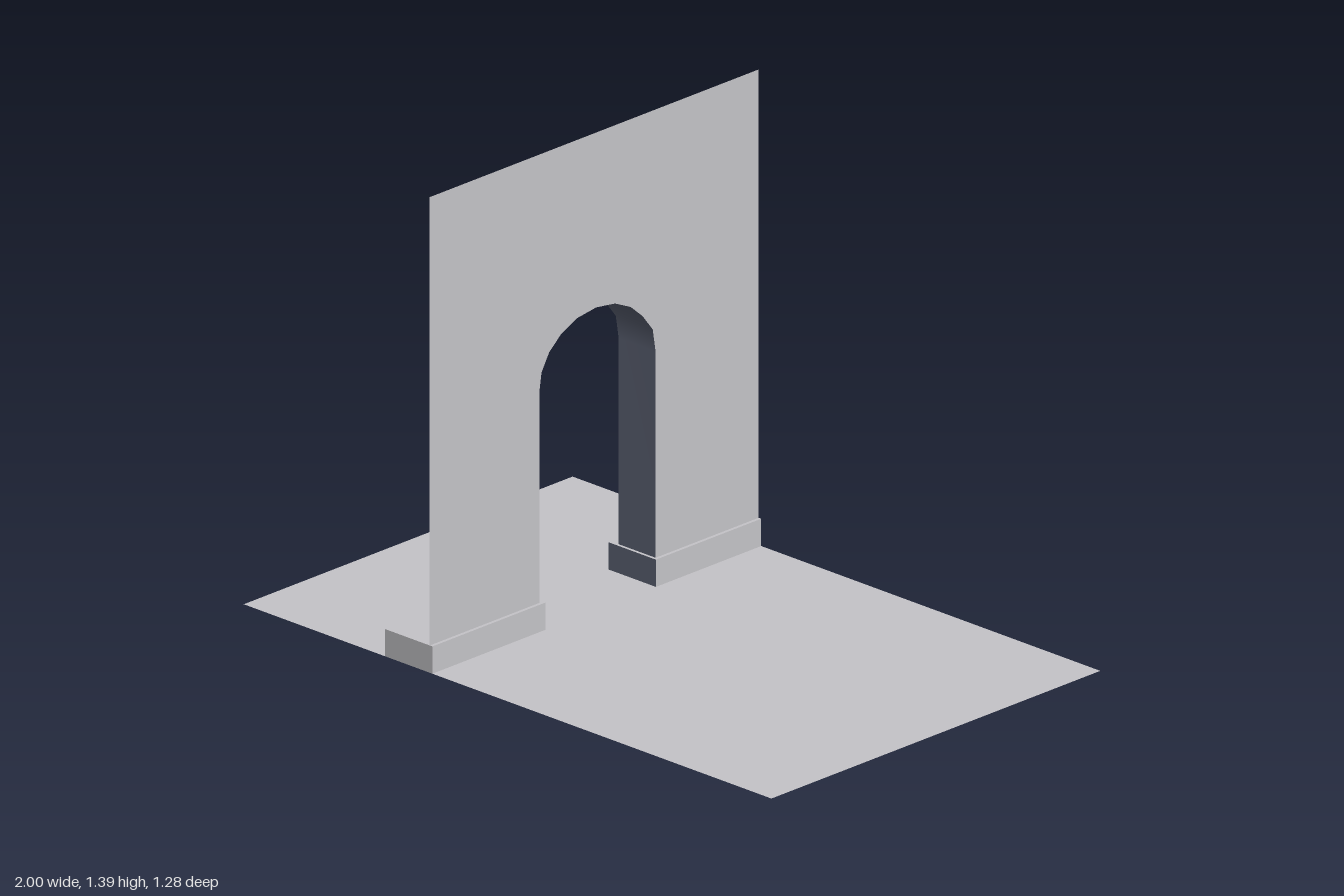
import * as THREE from 'three';

const WALL_X = -0.295, REVEAL_X = -0.435, HALF_Z = 0.64, WALL_H = 1.395, PLINTH_H = 0.08;

// Outline of the arched opening as [z, y], from the front jamb over to the rear jamb
const OPENING = [
  [0.213, 0], [0.213, 0.7], [0.205, 0.753], [0.175, 0.804], [0.127, 0.845], [0.068, 0.872],
  [-0.008, 0.882], [-0.081, 0.872], [-0.142, 0.844], [-0.188, 0.804], [-0.228, 0.753],
  [-0.239, 0.685], [-0.239, 0],
];

function addMesh(group, name, geometry, material) {
  const mesh = new THREE.Mesh(geometry, material);
  mesh.name = name;
  group.add(mesh);
  return mesh;
}

// Single-sheet wall with the opening cut up from its base
function wallGeometry() {
  const outline = [[HALF_Z, 0], ...OPENING, [-HALF_Z, 0], [-HALF_Z, WALL_H], [HALF_Z, WALL_H]];
  const shape = new THREE.Shape(outline.map(([z, y]) => new THREE.Vector2(-z, y)));
  return new THREE.ShapeGeometry(shape).rotateY(Math.PI / 2).translate(WALL_X, 0, 0);
}

// Smooth strip lining the opening, swept back from the wall
function revealGeometry() {
  const positions = [], indices = [];
  OPENING.forEach(([z, y], i) => {
    positions.push(WALL_X, y, z, REVEAL_X, y, z);
    if (i > 0) {
      const a = 2 * (i - 1);
      indices.push(a, a + 1, a + 2, a + 1, a + 3, a + 2);
    }
  });
  const geometry = new THREE.BufferGeometry();
  geometry.setAttribute('position', new THREE.Float32BufferAttribute(positions, 3));
  geometry.setIndex(indices);
  geometry.computeVertexNormals();
  return geometry;
}

export function createModel() {
  const model = new THREE.Group();
  model.name = 'archway';

  const stone = new THREE.MeshStandardMaterial({ color: 0xc5c4c8, side: THREE.DoubleSide });
  stone.name = 'pale stone';
  const slate = new THREE.MeshStandardMaterial({ color: 0x5f6577, side: THREE.DoubleSide });
  slate.name = 'blue slate';

  // Ground slab and wall
  addMesh(model, 'floor', new THREE.PlaneGeometry(2, 2 * HALF_Z).rotateX(-Math.PI / 2), stone);
  addMesh(model, 'wall', wallGeometry(), stone);
  addMesh(model, 'archReveal', revealGeometry(), slate);

  // Plinths either side; the end facing the opening is slate
  const addPlinth = (name, z0, z1, slateFace) => {
    const materials = Array(6).fill(stone);
    materials[slateFace] = slate;
    const plinth = addMesh(model, name, new THREE.BoxGeometry(0.18, PLINTH_H, z1 - z0), materials);
    plinth.position.set(-0.375, PLINTH_H / 2, (z0 + z1) / 2);
  };
  addPlinth('frontPlinth', 0.2, HALF_Z, 5);
  addPlinth('rearPlinth', -HALF_Z, -0.23, 4);

  return model;
}
